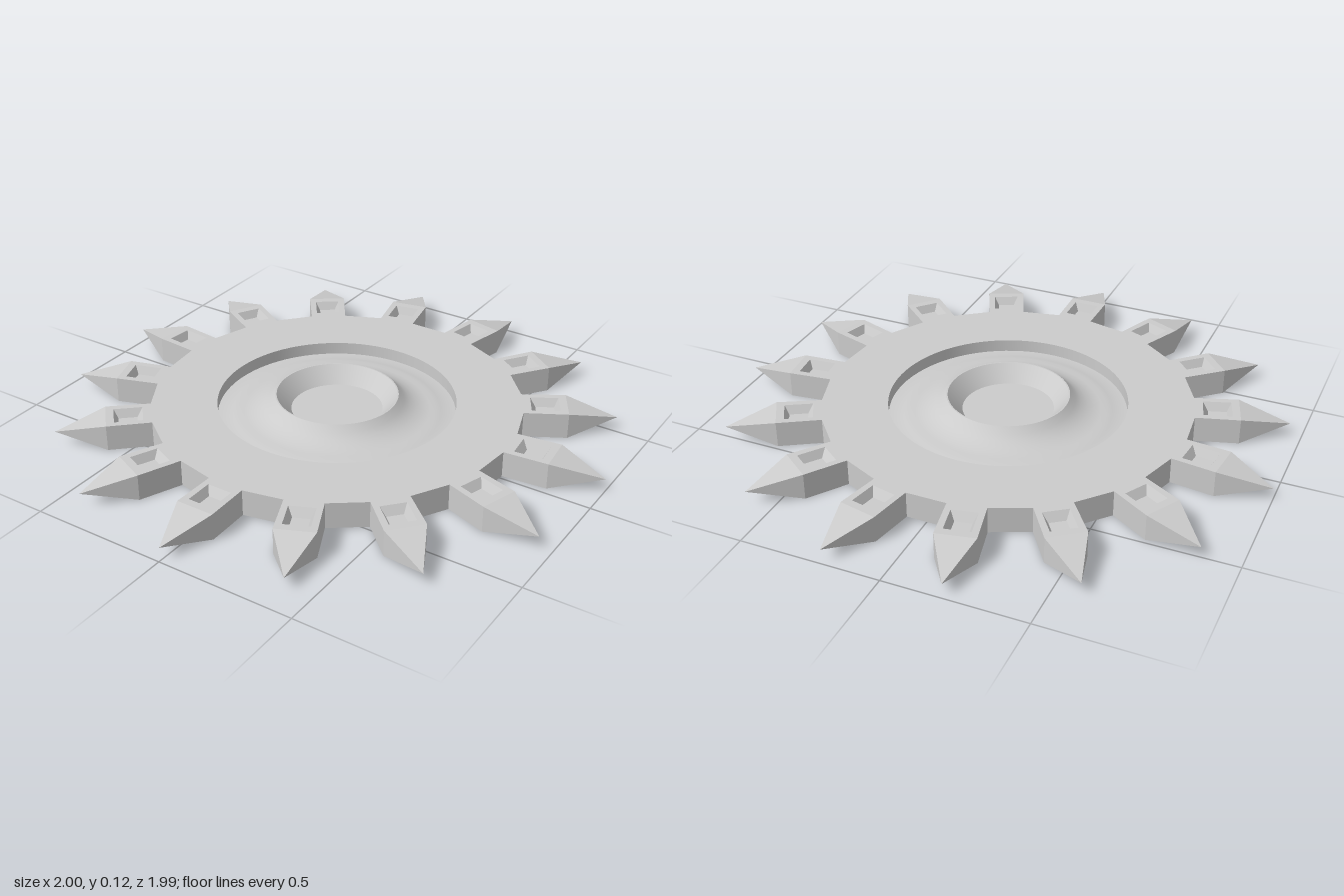
import * as THREE from 'three';
import { toCreasedNormals } from 'three/addons/utils/BufferGeometryUtils.js';

const TEETH = 15, STEP = (Math.PI * 2) / TEETH;
const TOP = 0.096, BODY_R = 0.668, DISH_R = 0.43, TIP_R = 1.0055;
const ROOT_HALF = 0.067, SHOULDER_HALF = 0.07;
const ROOT_Z = Math.sqrt(BODY_R ** 2 - ROOT_HALF ** 2), SHOULDER_Z = 0.825;

// Four corners of a tooth cross-section, counter-clockwise from above
const loop = (y, zOut, wOut, zIn, wIn) => [
  [-wOut, y, zOut], [wOut, y, zOut], [wIn, y, zIn], [-wIn, y, zIn],
];

// Tooth pointing along +z: block with a tapered pocket and a pyramid tip
function toothGeometry() {
  const pos = [];
  const tri = (...p) => pos.push(...p.flat());
  const quad = (a, b, c, d) => { tri(a, b, c); tri(a, c, d); };
  const bottom = loop(0, SHOULDER_Z, SHOULDER_HALF, ROOT_Z, ROOT_HALF);
  const loops = [
    bottom,
    loop(TOP, SHOULDER_Z, SHOULDER_HALF, ROOT_Z, ROOT_HALF),
    loop(TOP, 0.797, 0.046, 0.695, 0.046),
    loop(0.066, 0.782, 0.03, 0.715, 0.03),
  ];
  for (let k = 0; k < 3; k++) {
    for (let i = 0; i < 4; i++) {
      if (k === 0 && i === 0) continue; // outer end is closed by the tip
      const j = (i + 1) % 4;
      quad(loops[k][i], loops[k][j], loops[k + 1][j], loops[k + 1][i]);
    }
  }
  quad(...loops[3]);
  quad(...[...bottom].reverse());
  const tip = [0, 0.05, TIP_R];
  const end = [bottom[0], bottom[1], loops[1][1], loops[1][0]];
  end.forEach((p, i) => tri(p, end[(i + 1) % 4], tip));
  const g = new THREE.BufferGeometry();
  g.setAttribute('position', new THREE.Float32BufferAttribute(pos, 3));
  g.computeVertexNormals();
  return g;
}

export function createModel() {
  const group = new THREE.Group();
  const smooth = new THREE.MeshStandardMaterial({ color: 0xcccccc });
  const faceted = new THREE.MeshStandardMaterial({ color: 0xcccccc, flatShading: true });
  const add = (name, geometry, material) => {
    const mesh = new THREE.Mesh(geometry, material);
    mesh.name = name;
    group.add(mesh);
    return mesh;
  };

  // Faceted disc with the round dish opening
  const half = Math.asin(ROOT_HALF / BODY_R);
  const outline = [];
  for (let i = 0; i < TEETH; i++) {
    for (const s of [-1, 1]) {
      const a = i * STEP + s * half;
      outline.push(new THREE.Vector2(Math.sin(a) * BODY_R, -Math.cos(a) * BODY_R));
    }
  }
  const shape = new THREE.Shape(outline);
  shape.holes.push(new THREE.Path().absarc(0, 0, DISH_R, 0, Math.PI * 2, true));
  const disc = new THREE.ExtrudeGeometry(shape, { depth: TOP, bevelEnabled: false, curveSegments: 72 });
  disc.rotateX(-Math.PI / 2);
  add('disc', toCreasedNormals(disc, 0.15), smooth);

  // Flat underside below the dish
  add('underside', new THREE.CircleGeometry(DISH_R, 72).rotateX(Math.PI / 2), smooth);

  // Rippled dish rising to the hub rim, then a funnel down to the hub floor
  const profile = [
    [DISH_R, 0.05], [0.4, 0.051], [0.375, 0.056], [0.355, 0.06], [0.335, 0.061],
    [0.31, 0.065], [0.285, 0.073], [0.262, 0.084], [0.242, 0.099], [0.222, 0.12],
    [0.217, 0.12], [0.165, 0.06], [0, 0.06],
  ].map(([r, y]) => new THREE.Vector2(r, y));
  add('dishAndHub', toCreasedNormals(new THREE.LatheGeometry(profile, 72), 0.5), smooth);

  // Ring of pointed teeth
  const tooth = toothGeometry();
  for (let i = 0; i < TEETH; i++) add('tooth', tooth, faceted).rotation.y = i * STEP;

  group.position.z = -0.011; // odd tooth count: centre the bounds
  return group;
}
